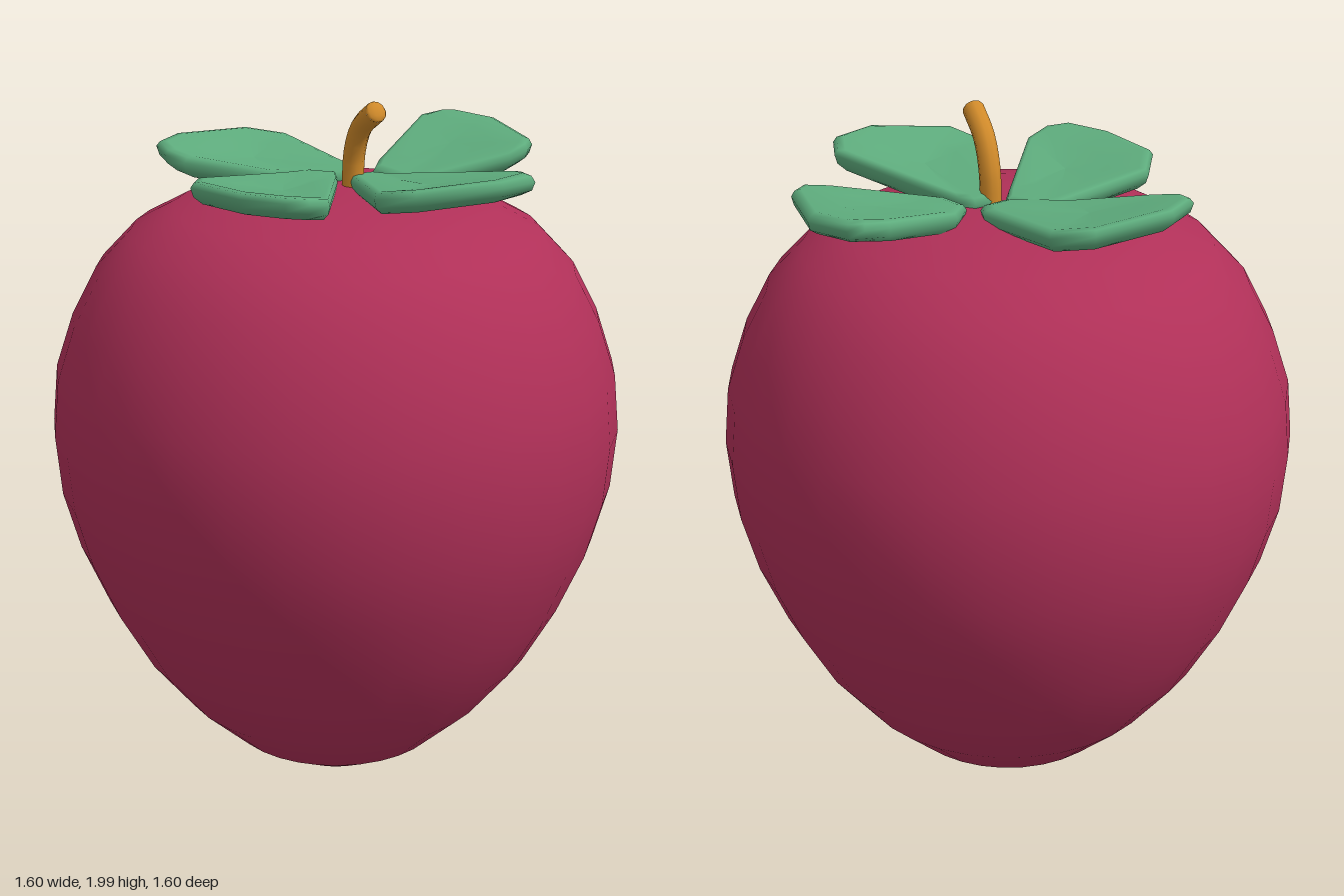
import * as THREE from 'three';

const mat = (name, color) => {
  const m = new THREE.MeshStandardMaterial({ color });
  m.name = name;
  return m;
};

// Leaf outlines as [x, z], counter-clockwise seen from above, with a slight sideways tilt
const LEAVES = [
  { name: 'frontLeaf', tilt: [-0.05, 0], outline: [
    [0.04, 0], [-0.13, 0.35], [-0.08, 0.46], [0.14, 0.55], [0.27, 0.52], [0.31, 0.43], [0.13, 0.04], [0.1, 0]] },
  { name: 'leftLeaf', tilt: [0, -0.06], outline: [
    [0.14, -0.02], [0.15, 0.08], [0.18, 0.12], [0.45, 0.21], [0.52, 0.2], [0.57, 0.16], [0.635, -0.08],
    [0.59, -0.21], [0.55, -0.23], [0.48, -0.235], [0.2, -0.08]] },
  { name: 'backLeaf', tilt: [0, 0], outline: [
    [0.04, -0.03], [0.11, -0.04], [0.125, -0.08], [0.12, -0.41], [0.03, -0.49], [-0.21, -0.49], [-0.31, -0.43],
    [-0.325, -0.36], [-0.3, -0.3], [-0.12, -0.13]] },
  { name: 'rightLeaf', tilt: [0, 0], outline: [
    [0.04, -0.05], [0, -0.11], [-0.08, -0.125], [-0.39, -0.1], [-0.47, 0], [-0.45, 0.2], [-0.39, 0.32],
    [-0.33, 0.345], [-0.25, 0.32], [0, 0.01]] },
];

// Rounded edge section: [scale of the outline, height offset], underside to top
const SECTION = [[0, -0.03], [0.5, -0.03], [0.87, -0.03], [0.97, -0.015], [1, 0.008], [0.96, 0.024],
  [0.88, 0.03], [0.5, 0.03], [0, 0.03]];

// Leaves lie flat near the stem and curl up towards the tip
const curl = (r) => 1.75 + 0.07 * Math.pow(THREE.MathUtils.clamp((r - 0.22) / 0.33, 0, 1), 1.3);

function leafGeometry({ outline, tilt }) {
  const n = outline.length;
  const cx = outline.reduce((s, p) => s + p[0], 0) / n;
  const cz = outline.reduce((s, p) => s + p[1], 0) / n;
  const pos = [], index = [];
  SECTION.forEach(([s, h], i) => {
    outline.forEach(([px, pz], j) => {
      const x = cx + (px - cx) * s, z = cz + (pz - cz) * s;
      const y = curl(Math.hypot(x, z)) + h + (x - cx) * tilt[0] + (z - cz) * tilt[1];
      pos.push(x, y, z);
      if (i === SECTION.length - 1) return;
      const a = i * n + j, b = i * n + (j + 1) % n;
      if (i > 0) index.push(a, b, b + n);
      if (i < SECTION.length - 2) index.push(a, b + n, a + n);
      if (i === 0) index.push(a, b + n, a + n);
    });
  });
  const g = new THREE.BufferGeometry();
  g.setAttribute('position', new THREE.Float32BufferAttribute(pos, 3));
  g.setIndex(index);
  g.computeVertexNormals();
  return g;
}

export function createModel() {
  const group = new THREE.Group();
  const red = mat('berryRed', 0xb03058);
  const green = mat('leafGreen', 0x5eac7d);
  const orange = mat('stemOrange', 0xd08a2a);
  const add = (parent, name, geometry, material) => {
    const m = new THREE.Mesh(geometry, material);
    m.name = name;
    parent.add(m);
    return m;
  };

  // Fruit body, narrowing to a blunt point
  const profile = [[0, 0.005], [0.16, 0.035], [0.31, 0.12], [0.45, 0.25], [0.57, 0.4], [0.665, 0.57], [0.74, 0.745],
    [0.785, 0.91], [0.8, 1.08], [0.785, 1.24], [0.735, 1.39], [0.665, 1.525], [0.566, 1.63], [0.445, 1.695],
    [0.305, 1.73], [0.155, 1.747], [0, 1.75]].map(([r, y]) => new THREE.Vector2(r, y));
  add(group, 'fruit', new THREE.LatheGeometry(profile, 32), red);

  // Leaf crown
  const crown = new THREE.Group();
  crown.name = 'leafCrown';
  group.add(crown);
  LEAVES.forEach((leaf) => add(crown, leaf.name, leafGeometry(leaf), green));

  // Bent stem with a closed tip
  const path = new THREE.CatmullRomCurve3([[0.04, 1.72, 0.025], [0.038, 1.84, 0.035], [0.032, 1.92, 0.075],
    [0.02, 1.975, 0.155]].map((p) => new THREE.Vector3(...p)));
  add(group, 'stem', new THREE.TubeGeometry(path, 10, 0.03, 10), orange);
  const tip = add(group, 'stemTip', new THREE.SphereGeometry(0.03, 10, 6), orange);
  const end = path.getPoint(1);
  tip.position.copy(end);
  tip.lookAt(end.clone().add(path.getTangent(1)));
  tip.scale.z = 0.4;

  return group;
}
